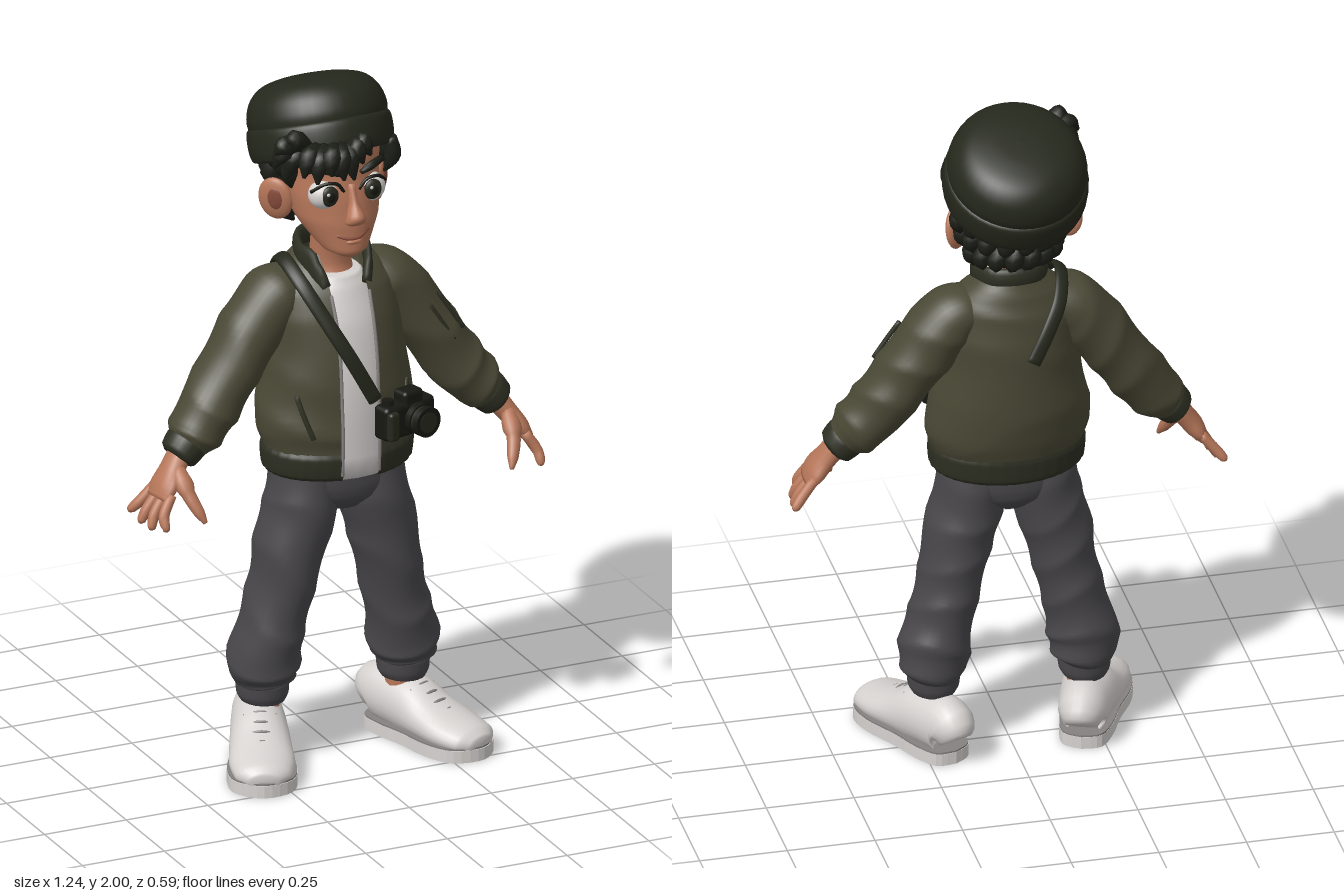
import * as THREE from 'three';
import { RoundedBoxGeometry } from 'three/addons/geometries/RoundedBoxGeometry.js';

const mat = (name, color, side = THREE.FrontSide) => {
  const m = new THREE.MeshStandardMaterial({ color, side });
  m.name = name;
  return m;
};
const V = (x, y, z) => new THREE.Vector3(x, y, z);
const X = V(1, 0, 0), Y = V(0, 1, 0), Z = V(0, 0, 1);

// Smooth loft through elliptical sections [x, y, z, radiusA, radiusB].
// flat keeps sections horizontal, gap leaves an opening at the front, fold adds cloth creases.
function loft(rows, { ref = Z, flat = false, gap = 0, n = 24, k = 4, fold = null } = {}) {
  const path = new THREE.CatmullRomCurve3(rows.map(r => V(r[0], r[1], r[2])));
  const size = new THREE.CatmullRomCurve3(rows.map(r => V(r[3], r[4], 0)));
  const steps = (rows.length - 1) * k, cols = gap ? n + 1 : n, pos = [], idx = [];
  for (let i = 0; i <= steps; i++) {
    const t = i / steps, c = path.getPoint(t), r = size.getPoint(t);
    const T = flat ? Y : path.getTangent(t);
    const u = T.clone().cross(ref).normalize(), w = u.clone().cross(T);
    const h = gap ? Math.asin(Math.min(0.9, gap / r.x)) : 0;
    for (let j = 0; j < cols; j++) {
      const th = gap ? Math.PI / 2 + h + (2 * Math.PI - 2 * h) * j / n : 2 * Math.PI * j / n;
      const f = fold ? 1 + fold(t, th) : 1;
      const p = c.clone().addScaledVector(u, Math.max(r.x, 0.001) * f * Math.cos(th))
        .addScaledVector(w, Math.max(r.y, 0.001) * f * Math.sin(th));
      pos.push(p.x, p.y, p.z);
    }
  }
  for (let i = 0; i < steps; i++) for (let j = 0; j < n; j++) {
    const a = i * cols + j, b = i * cols + (j + 1) % cols, c = a + cols, d = b + cols;
    idx.push(a, c, b, b, c, d);
  }
  if (!gap) { // end caps
    const e = steps * cols, m = pos.length / 3;
    const first = path.getPoint(0), last = path.getPoint(1);
    pos.push(first.x, first.y, first.z, last.x, last.y, last.z);
    for (let j = 0; j < n; j++) {
      const q = (j + 1) % n;
      idx.push(m, j, q, m + 1, e + q, e + j);
    }
  }
  const g = new THREE.BufferGeometry();
  g.setAttribute('position', new THREE.Float32BufferAttribute(pos, 3));
  g.setIndex(idx);
  g.computeVertexNormals();
  return g;
}
const creases = (amp, f, m) => (t, th) =>
  amp * (1 - 2 * Math.abs(Math.sin(f * t + m * Math.sin(th + 5 * t)))) * (0.4 + 0.6 * t);

export function createModel() {
  const M = {
    skin: mat('skin', 0xb7775a), lip: mat('mouth', 0x874c3b), hair: mat('hair', 0x1d1f18),
    hat: mat('dark knit', 0x25281c), jacket: mat('olive jacket', 0x4a4835, THREE.DoubleSide),
    rib: mat('rib trim', 0x2d2f22, THREE.DoubleSide), pants: mat('charcoal cloth', 0x49474a),
    white: mat('off white', 0xd6d2d0), grey: mat('grey detail', 0x858180), black: mat('black', 0x171812),
  };
  const root = new THREE.Group();
  const add = (name, g, m, parent = root) => {
    const mesh = new THREE.Mesh(g, m);
    mesh.name = name;
    parent.add(mesh);
    return mesh;
  };
  const ball = (name, m, p, s, parent = root) => {
    const b = add(name, new THREE.SphereGeometry(1, 24, 16), m, parent);
    b.position.set(...p);
    b.scale.set(...s);
    return b;
  };
  // Thin rounded cord through points
  const cord = (name, m, pts, r, parent, ref = Z) =>
    add(name, loft(pts.map(p => [...p, r, r]), { n: 8, ref }), m, parent);

  // Head and neck
  add('head', loft([[0, 1.513, .095, .025, .03], [0, 1.53, .075, .062, .066], [0, 1.57, .04, .092, .1],
    [0, 1.62, .012, .12, .126], [0, 1.68, 0, .13, .13], [0, 1.74, -.018, .133, .138], [0, 1.8, -.03, .14, .145],
    [0, 1.86, -.04, .13, .13], [0, 1.92, -.05, .06, .06]], { flat: true, n: 32 }), M.skin);
  add('neck', loft([[0, 1.38, 0, .078, .078], [0, 1.46, -.02, .058, .06], [0, 1.57, 0, .06, .065]], { flat: true }), M.skin);
  add('nose', loft([[0, 1.61, .13, .012, .01], [0, 1.625, .145, .03, .026], [0, 1.645, .15, .026, .03],
    [0, 1.68, .13, .013, .022], [0, 1.73, .11, .012, .018]], { flat: true, n: 16 }), M.skin);
  cord('mouth', M.lip, [[-.045, 1.582, .124], [-.02, 1.574, .137], [.015, 1.574, .138], [.05, 1.59, .121]], .0045, root, Y);
  ball('lowerLip', M.skin, [0, 1.563, .134], [.024, .008, .012]);

  for (const s of [1, -1]) {
    const ear = new THREE.Group();
    ear.name = 'ear';
    ear.position.set(s * .158, 1.655, -.04);
    ear.rotation.set(0, -s * .7, -s * .12);
    root.add(ear);
    ball('earShell', M.skin, [0, 0, 0], [.02, .064, .052], ear);
    ball('earHollow', M.lip, [s * .013, .004, .004], [.009, .036, .026], ear);
    ball('eyeball', M.white, [s * .069, 1.7, .088], [.046, .043, .041]);
    ball('iris', M.hat, [s * .066, 1.702, .118], [.027, .03, .013]);
    ball('pupil', M.black, [s * .066, 1.702, .124], [.016, .018, .009]);
    ball('eyeGlint', M.white, [s * .066 - .009, 1.712, .131], [.005, .005, .003]);
    cord('upperLid', M.black, [[s * .023, 1.71, .119], [s * .045, 1.737, .122], [s * .08, 1.741, .119], [s * .114, 1.715, .096]], .005, root, Y);
    add('eyebrow', loft([[s * .026, 1.762, .125, .008, .007], [s * .06, 1.779, .126, .011, .013],
      [s * .095, 1.781, .103, .009, .011], [s * .123, 1.763, .07, .003, .003]], { ref: Y, n: 10 }), M.hair);
  }

  // Hair: cap at the back, curls below the hat, swept fringe
  add('hairCap', loft([[0, 1.555, -.1, .06, .04], [0, 1.62, -.09, .115, .075], [0, 1.7, -.08, .143, .095],
    [0, 1.8, -.07, .165, .13]], { flat: true, fold: (t, a) => .03 * Math.sin(9 * a) * Math.sin(14 * t) }), M.hair);
  const lock = (name, a, b, lift, r) => {
    const mid = [0, 1, 2].map(i => (a[i] + b[i]) / 2 + lift[i]);
    add(name, loft([[...a, r * .8, r * .8], [...mid, r, r], [...b, r * .15, r * .15]], { n: 8, ref: X.clone().add(V(0, .2, .5)) }), M.hair);
  };
  for (let row = 0; row < 3; row++) for (let i = 0; i < 8; i++) {
    const a = Math.PI * (1.02 + .96 * (i + (row % 2) * .4) / 7.4), y = 1.6 + row * .055, r = .1 + row * .02;
    const c = Math.cos(a), d = Math.sin(a);
    lock('backCurl', [c * r, y + .05, -.08 + d * r * .75], [c * r * 1.02 + .02, y - .04, -.08 + d * r * .78],
      [c * .02, 0, d * .02], .029);
  }
  for (const tip of [[-.215, 1.795, .07], [-.222, 1.845, .09], [-.195, 1.885, .11], [-.18, 1.76, .08], [-.16, 1.785, .15],
    [-.125, 1.765, .165], [-.09, 1.79, .185], [-.05, 1.77, .18], [-.012, 1.76, .165], [.02, 1.8, .155], [.05, 1.815, .14]])
    lock('fringeLock', [tip[0] * .62, 1.845, tip[2] * .6 + .015], tip, [-.012, .022, .014], .029);
  for (const s of [1, -1]) for (let i = 0; i < 3; i++)
    lock('templeLock', [s * .15, 1.82, .05 - i * .05], [s * .142, 1.71 + i * .01, .03 - i * .05], [s * .012, 0, .01], .024);

  // Knit hat, tilted back
  const hat = new THREE.Group();
  hat.name = 'hat';
  hat.position.set(0, 1.753, -.066);
  hat.rotation.x = -.38;
  hat.scale.set(.94, 1, 1);
  root.add(hat);
  const turn = pts => new THREE.LatheGeometry(new THREE.SplineCurve(pts.map(p => new THREE.Vector2(...p))).getPoints(30), 40);
  add('hatCrown', turn([[.19, .05], [.205, .09], [.207, .125], [.19, .17], [.15, .205], [.08, .222], [0, .226]]), M.hat, hat);
  add('hatBrim', turn([[0, .012], [.15, .01], [.198, 0], [.212, .015], [.216, .05], [.213, .085], [.2, .096], [.18, .09]]), M.hat, hat);

  // Shirt and open jacket
  add('shirt', loft([[0, .862, .02, .18, .14], [0, 1.1, .005, .18, .157], [0, 1.3, -.005, .155, .14], [0, 1.4, -.01, .11, .105],
    [0, 1.437, -.01, .075, .083]], { flat: true, fold: creases(.006, 9, 1) }), M.white);
  add('jacketBody', loft([[0, .94, .02, .213, .165], [0, 1, .015, .236, .175], [0, 1.1, .005, .222, .178], [0, 1.22, 0, .198, .175],
    [0, 1.32, -.01, .192, .16], [0, 1.4, -.02, .18, .135], [0, 1.45, -.03, .142, .107], [0, 1.49, -.04, .095, .08]],
    { flat: true, gap: .056, n: 48, k: 6, fold: (t, a) => creases(.018, 11, 1.4)(1 - t, a) }), M.jacket);
  add('jacketHem', loft([[0, .868, .022, .208, .157], [0, .88, .022, .218, .165], [0, .93, .022, .222, .17], [0, .948, .02, .214, .166]],
    { flat: true, gap: .054, n: 96, fold: (t, a) => .006 * Math.sin(70 * a) }), M.rib);
  const half = [[.062, 1.415, .088], [.082, 1.462, .05], [.094, 1.492, -.02], [.064, 1.505, -.088]];
  const ring = [...half.map(p => [-p[0], p[1], p[2]]), [0, 1.508, -.108], ...[...half].reverse()];
  add('collar', loft(ring.map((p, i) => [...p, .014, i % 8 ? .031 : .015]), { ref: Y, n: 12 }), M.rib);

  for (const s of [1, -1]) {
    cord('zipper', M.grey, [[s * .056, .885, .182], [s * .056, 1, .186], [s * .056, 1.1, .179], [s * .056, 1.22, .169],
      [s * .056, 1.32, .146], [s * .058, 1.4, .112]], .005, root, X);
    cord('pocketWelt', M.rib, [[s * .168, 1.12, .119], [s * .157, 1.07, .14], [s * .135, 1.0, .162]], .008, root, X);

    // Sleeve, cuff, hand
    add('sleeve', loft([[s * .09, 1.4, -.03, .055, .07], [s * .165, 1.375, -.03, .085, .098], [s * .24, 1.285, -.025, .09, .102],
      [s * .31, 1.185, -.015, .085, .1], [s * .38, 1.085, 0, .084, .096], [s * .435, 1.02, .015, .076, .086],
      [s * .468, .985, .02, .05, .055]], { n: 32, k: 8, fold: creases(.055, 15, 1.2) }), M.jacket);
    add('cuff', loft([[s * .45, 1.005, .018, .05, .055], [s * .46, .995, .02, .06, .064], [s * .485, .968, .024, .054, .06],
      [s * .493, .96, .025, .04, .045]]), M.rib);
    add('palm', loft([[s * .475, .98, .025, .034, .038], [s * .512, .93, .037, .03, .046], [s * .54, .89, .046, .028, .06],
      [s * .562, .858, .05, .018, .055]], { n: 16 }), M.skin);
    [[.615, .8, -.018], [.608, .785, .035], [.6, .782, .085], [.578, .79, .132]].forEach(([x, y, z], i) => {
      const bz = .005 + i * .031;
      add('finger', loft([[s * (.55 - i * .003), .88, bz, .014, .016], [s * (x * .5 + .283), (y + .865) / 2, (z + bz) / 2, .015, .0165],
        [s * (x - .004), y + .008, z, .012, .013], [s * x, y, z, .004, .004]], { n: 10 }), M.skin);
    });
    add('thumb', loft([[s * .505, .94, .06, .02, .02], [s * .498, .885, .115, .02, .02], [s * .48, .838, .15, .016, .016],
      [s * .468, .81, .168, .006, .006]], { n: 10, ref: X }), M.skin);

    // Trouser leg, gathered ankle, ankle
    add('trouserLeg', loft([[s * .095, .88, .02, .095, .115], [s * .11, .76, .02, .1, .121], [s * .14, .65, .017, .099, .118],
      [s * .163, .53, .012, .09, .113], [s * .188, .42, .005, .09, .11], [s * .21, .32, 0, .101, .111],
      [s * .215, .255, -.008, .094, .1], [s * .215, .222, -.008, .065, .075]], { n: 32, k: 8, fold: creases(.05, 17, 1.1) }), M.pants);
    add('trouserCuff', loft([[s * .215, .18, -.005, .062, .07], [s * .215, .2, -.005, .072, .078], [s * .215, .24, -.006, .075, .082]],
      { flat: true }), M.pants);
    add('ankle', new THREE.CylinderGeometry(.05, .05, .12, 16), M.skin).position.set(s * .215, .16, -.01);

    // Shoe, toes turned out
    const shoe = new THREE.Group();
    shoe.name = 'shoe';
    shoe.position.set(s * .228, 0, 0);
    shoe.rotation.y = s * .38;
    root.add(shoe);
    add('shoeUpper', loft([[0, .07, -.13, .045, .045], [0, .1, -.11, .068, .082], [0, .1, -.04, .076, .085], [0, .092, .025, .081, .084],
      [0, .073, .1, .088, .065], [0, .058, .18, .092, .05], [0, .048, .25, .078, .041], [0, .042, .283, .04, .024]], { ref: Y }), M.white, shoe);
    const outline = grow => new THREE.Shape(new THREE.SplineCurve([[0, -.136], [.055, -.115], [.076, -.04], [.082, .05], [.098, .16], [.08, .25],
      [0, .292], [-.08, .25], [-.098, .16], [-.082, .05], [-.076, -.04], [-.055, -.115], [0, -.136]]
      .map(p => new THREE.Vector2(p[0] * grow, p[1] * grow))).getPoints(48));
    for (const [name, grow, top, depth, m] of [['sole', 1, .036, .036, M.white], ['soleSeam', .99, .041, .006, M.grey]]) {
      const g = new THREE.ExtrudeGeometry(outline(grow), { depth, bevelEnabled: false });
      g.rotateX(Math.PI / 2).translate(0, top, 0);
      add(name, g, m, shoe);
    }
    for (let i = 0; i < 4; i++) {
      const z = .06 + i * .032, y = .163 - i * .0165;
      cord('lace', M.grey, [[-.045, y - .012, z - .008], [0, y + .001, z], [.045, y - .012, z - .008]], .005, shoe, Y);
    }
  }
  add('hips', loft([[0, .75, .02, .07, .08], [0, .79, .02, .16, .117], [0, .83, .02, .192, .126], [0, .9, .02, .19, .127]], { flat: true }), M.pants);

  // Sleeve pocket on the left arm
  for (const d of [0, .035])
    cord('sleevePocketSeam', M.rib, [[.265 + d, 1.3 + d * .7, .064 - d * .5], [.3 + d, 1.245 + d * .7, .072 - d * .5], [.335 + d, 1.19 + d * .7, .076 - d * .5]], .007, root, X);

  // Camera and strap
  add('strap', loft([[-.03, 1.27, -.178], [-.08, 1.36, -.158], [-.12, 1.43, -.118], [-.142, 1.478, -.03], [-.134, 1.44, .07],
    [-.085, 1.335, .142], [-.03, 1.23, .182], [.04, 1.1, .192]].map(p => [...p, .009, .021]), { ref: V(.88, .48, 0), n: 12, k: 8 }), M.hat);
  const cam = new THREE.Group();
  cam.name = 'camera';
  cam.position.set(.125, 1.04, .198);
  cam.rotation.y = .28;
  root.add(cam);
  add('cameraBody', new RoundedBoxGeometry(.18, .1, .06, 3, .014), M.black, cam);
  add('cameraHump', new RoundedBoxGeometry(.07, .045, .055, 3, .012), M.black, cam).position.set(.015, .058, 0);
  add('cameraDial', new THREE.CylinderGeometry(.016, .016, .02, 16), M.black, cam).position.set(-.06, .056, 0);
  add('cameraGrip', new RoundedBoxGeometry(.035, .085, .03, 3, .01), M.hat, cam).position.set(-.068, -.004, .03);
  for (const [name, r, z, len, m] of [['lensBase', .044, .035, .03, M.black], ['lensBarrel', .039, .05, .04, M.hat],
    ['lensRim', .044, .072, .016, M.black], ['lensGlass', .03, .079, .005, M.hat]]) {
    const c = add(name, new THREE.CylinderGeometry(r, r, len, 28), m, cam);
    c.rotation.x = Math.PI / 2;
    c.position.set(.02, 0, z);
  }
  return root;
}
